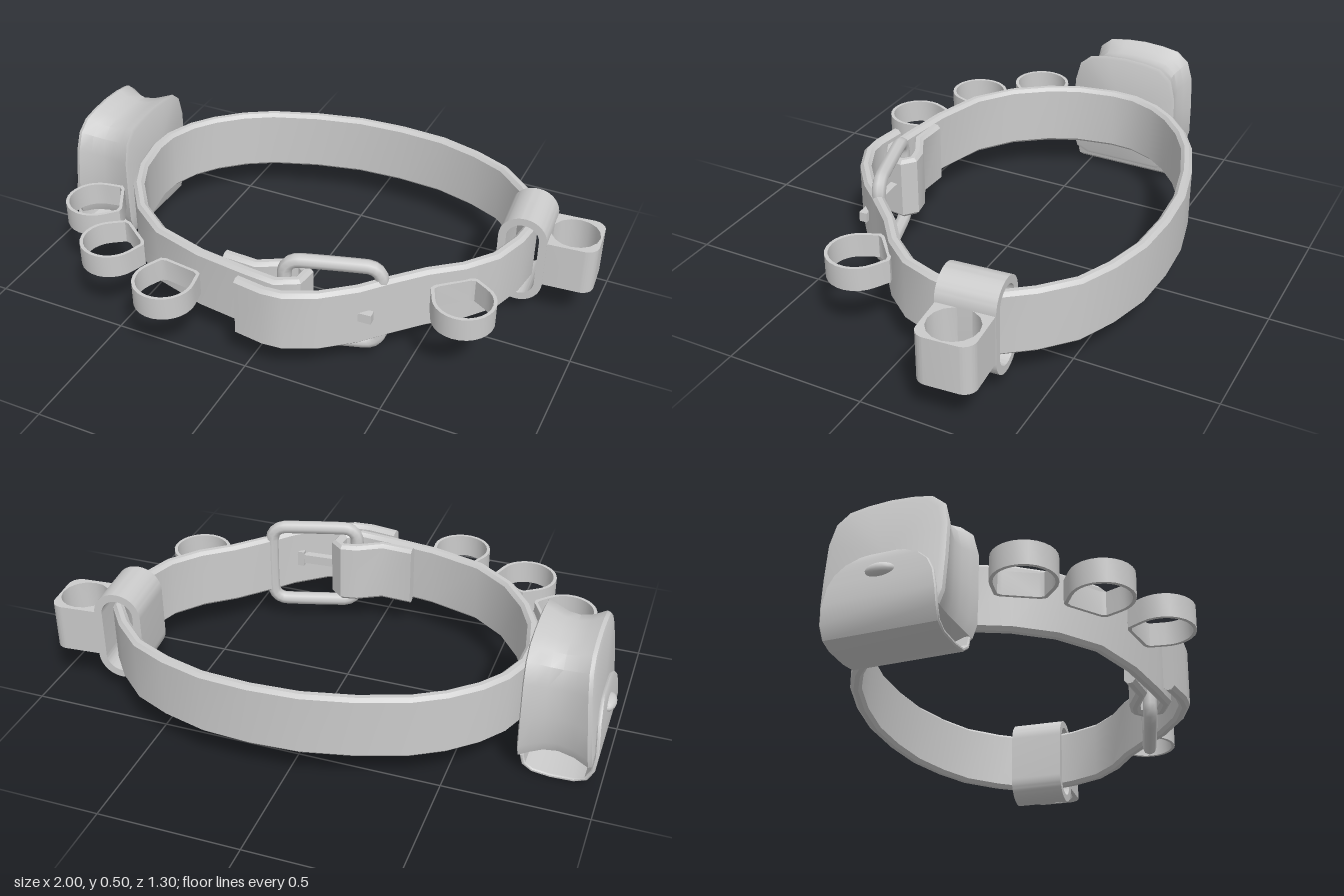
import * as THREE from 'three';
import { toCreasedNormals, mergeVertices } from 'three/addons/utils/BufferGeometryUtils.js';

const grey = new THREE.MeshStandardMaterial({ color: 0xcccccc });

function addMesh(parent, name, geometry) {
  const mesh = new THREE.Mesh(geometry, grey);
  mesh.name = name;
  parent.add(mesh);
  return mesh;
}

// Skin over equal-length loops of points, with both ends closed
function loft(sections) {
  const n = sections[0].length;
  const pos = sections.flat().flatMap(p => [p.x, p.y, p.z]);
  const tris = [];
  for (let i = 0; i < sections.length - 1; i++) {
    for (let j = 0; j < n; j++) {
      const a = i * n + j, b = i * n + (j + 1) % n;
      tris.push([a, b, b + n], [a, b + n, a + n]);
    }
  }
  [0, sections.length - 1].forEach((s, end) => {
    const c = sections[s].reduce((sum, p) => sum.add(p), new THREE.Vector3()).divideScalar(n);
    const k = pos.length / 3;
    pos.push(c.x, c.y, c.z);
    for (let j = 0; j < n; j++) {
      const a = s * n + j, b = s * n + (j + 1) % n;
      tris.push(end ? [a, b, k] : [b, a, k]);
    }
  });
  // Turn the faces outward
  const v = i => new THREE.Vector3().fromArray(pos, i * 3);
  const volume = tris.reduce((s, [a, b, c]) => s + v(a).dot(v(b).cross(v(c))), 0);
  if (volume < 0) tris.forEach(t => t.reverse());
  const g = new THREE.BufferGeometry();
  g.setAttribute('position', new THREE.Float32BufferAttribute(pos, 3));
  g.setIndex(tris.flat());
  return toCreasedNormals(g, 0.6);
}

// Flat band with chamfered edges following a 2D path; place(u, v, w) maps it into space
function band(path, thickness, halfWidth, place) {
  const t = thickness / 2, c = thickness * 0.3;
  return loft(path.map(([u, v], i) => {
    const p = path[Math.max(i - 1, 0)], q = path[Math.min(i + 1, path.length - 1)];
    const len = Math.hypot(q[0] - p[0], q[1] - p[1]);
    const nu = -(q[1] - p[1]) / len, nv = (q[0] - p[0]) / len;
    const h = halfWidth(i);
    return [[t, h - c], [t - c, h], [c - t, h], [-t, h - c], [-t, c - h], [c - t, -h], [t - c, -h], [t, c - h]]
      .map(([d, w]) => place(u + nu * d, v + nv * d, w));
  }));
}

function roundedRect(shape, w, h, r) {
  const x = w / 2, y = h / 2;
  shape.moveTo(x, y - r).absarc(x - r, y - r, r, 0, Math.PI / 2)
    .absarc(r - x, y - r, r, Math.PI / 2, Math.PI)
    .absarc(r - x, r - y, r, Math.PI, Math.PI * 1.5)
    .absarc(x - r, r - y, r, Math.PI * 1.5, Math.PI * 2);
  return shape;
}

function extrude(shape, depth) {
  const g = new THREE.ExtrudeGeometry(shape, { depth, bevelEnabled: false, curveSegments: 8 });
  return toCreasedNormals(g.translate(0, 0, -depth / 2), 0.6);
}

function makeStrap(model) {
  // Inner end, fold round the buckle bar, once round the waist, outer tail
  const path = [
    [-0.13, 0.37], [-0.01, 0.375], [0.08, 0.325], [0.13, 0.315], [0.162, 0.34], [0.155, 0.4],
    [0.09, 0.435], [-0.02, 0.425], [-0.21, 0.4], [-0.4, 0.345], [-0.53, 0.25], [-0.62, 0.13],
    [-0.67, 0.02], [-0.695, -0.12], [-0.69, -0.21], [-0.65, -0.31], [-0.59, -0.39], [-0.5, -0.47],
    [-0.4, -0.53], [-0.235, -0.59], [-0.06, -0.63], [0.11, -0.64], [0.28, -0.63], [0.43, -0.59],
    [0.555, -0.535], [0.66, -0.44], [0.73, -0.35], [0.755, -0.24], [0.74, -0.13], [0.7, -0.01],
    [0.62, 0.09], [0.52, 0.17], [0.42, 0.275], [0.35, 0.355], [0.245, 0.44], [0.14, 0.49],
    [0.075, 0.495], [-0.03, 0.48],
  ];
  addMesh(model, 'strap', band(path, 0.04, () => 0.117, (x, z, w) => new THREE.Vector3(x, 0.248 + w, z)));
}

function makeBuckle(model) {
  const buckle = new THREE.Group();
  buckle.name = 'buckle';
  const outline = roundedRect(new THREE.Shape(), 0.325, 0.315, 0.05).getPoints(4)
    .map(p => new THREE.Vector3(p.x, p.y, 0));
  outline.pop();
  const curve = new THREE.CatmullRomCurve3(outline, true, 'centripetal');
  const frame = addMesh(buckle, 'buckleFrame', new THREE.TubeGeometry(curve, 64, 0.025, 8, true));
  frame.position.set(0.25, 0.25, 0.33);
  frame.rotation.y = 0.29;
  // Prong through the tail
  const prong = addMesh(buckle, 'prong', new THREE.BoxGeometry(0.3, 0.035, 0.028));
  prong.position.set(0.255, 0.25, 0.365);
  prong.rotation.y = 0.06;
  addMesh(buckle, 'prongCollar', new THREE.BoxGeometry(0.025, 0.06, 0.05)).position.set(0.315, 0.25, 0.37);
  model.add(buckle);
}

function makeRings(model) {
  // D-shaped holders: flat side to the strap, round side outward (local +z)
  const outline = (k) => {
    const pts = [[-0.065, -0.1], [0.065, -0.1], [0.083, -0.092]];
    for (let i = 0; i <= 16; i++) {
      const a = THREE.MathUtils.degToRad(-20 + i * 220 / 16);
      pts.push([0.108 * Math.cos(a), 0.108 * Math.sin(a)]);
    }
    pts.push([-0.083, -0.092]);
    return pts.map(([x, y]) => new THREE.Vector2(x * k, y * k));
  };
  const shape = new THREE.Shape(outline(1));
  shape.holes.push(new THREE.Path(outline(0.89)));
  const geometry = extrude(shape, 0.085).rotateX(Math.PI / 2);
  [[-0.75, 0.225, -0.88, 0.47], [-0.565, 0.415, -0.6, 0.8], [-0.28, 0.535, -0.13, 0.99], [0.667, 0.205, 0.66, 0.75]]
    .forEach(([x, z, dx, dz], i) => {
      const ring = addMesh(model, 'ringHolder' + (i + 1), geometry);
      ring.position.set(x, 0.266, z);
      ring.rotation.y = Math.atan2(dx, dz);
    });
}

function makeSideHolder(model) {
  const holder = new THREE.Group();
  holder.name = 'sideHolder';
  // Loop round the strap
  const loop = roundedRect(new THREE.Shape(), 0.172, 0.345, 0.085);
  loop.holes.push(roundedRect(new THREE.Path(), 0.116, 0.289, 0.057));
  addMesh(holder, 'holderLoop', extrude(loop, 0.205));
  // Socket with an upright hole
  const block = new THREE.Shape();
  block.moveTo(0.07, -0.1).lineTo(0.205, -0.1).absarc(0.215, -0.055, 0.045, -Math.PI / 2, 0)
    .absarc(0.215, 0.055, 0.045, 0, Math.PI / 2).lineTo(0.07, 0.1);
  block.closePath();
  const hole = new THREE.Path();
  hole.absarc(0.167, 0, 0.086, 0, Math.PI * 2);
  block.holes.push(hole);
  addMesh(holder, 'socket', extrude(block, 0.175).rotateX(Math.PI / 2));
  holder.position.set(0.735, 0.243, -0.272);
  holder.rotation.y = 0.08;
  model.add(holder);
}

function makePouch(model) {
  const pouch = new THREE.Group();
  pouch.name = 'pouch';
  const midY = 0.28, midZ = -0.15;
  // Outline of half the body (z, y), mirrored
  const half = [[0.08, 0.498], [0.145, 0.486], [0.19, 0.447], [0.21, 0.37], [0.212, 0.24], [0.21, 0.12], [0.195, 0.075], [0.15, 0.055]];
  const outline = [[0, 0.503], ...half, [0, 0.055], ...half.map(([z, y]) => [-z, y]).reverse()];
  // Waisted body: position through its depth, size and slant
  const sections = [[-0.715, 0.95, 0], [-0.72, 1, 0], [-0.755, 0.94, 0], [-0.795, 0.88, 0.01], [-0.84, 0.86, 0.03],
    [-0.89, 0.9, 0.06], [-0.935, 0.98, 0.09], [-0.948, 0.96, 0.09], [-0.955, 0.88, 0.09]];
  addMesh(pouch, 'pouchBody', loft(sections.map(([x, k, slant]) => outline.map(([z, y]) =>
    new THREE.Vector3(x + (y - midY) * slant, midY + (y - midY) * k, midZ + z * k)))));
  // Flap from under the body up its outer face
  const path = [[-0.955, 0.285], [-0.958, 0.28], [-0.963, 0.26], [-0.967, 0.23], [-0.972, 0.19], [-0.976, 0.13], [-0.97, 0.07],
    [-0.95, 0.03], [-0.91, 0.013], [-0.83, 0.01], [-0.77, 0.018], [-0.74, 0.04], [-0.732, 0.075]];
  const widths = [0.05, 0.08, 0.125, 0.158, 0.178, 0.19, 0.194, 0.192, 0.19, 0.19, 0.19, 0.192, 0.194];
  addMesh(pouch, 'pouchFlap', band(path, 0.014, i => widths[i], (x, y, w) => new THREE.Vector3(x, y, midZ + w)));
  // Oval button
  const button = addMesh(pouch, 'button', new THREE.SphereGeometry(1, 16, 10));
  button.scale.set(0.028, 0.023, 0.05);
  button.position.set(-0.972, 0.22, midZ);
  model.add(pouch);
}

export function createModel() {
  const model = new THREE.Group();
  model.name = 'utilityBelt';
  makeStrap(model);
  makeBuckle(model);
  makeRings(model);
  makeSideHolder(model);
  makePouch(model);
  return model;
}
